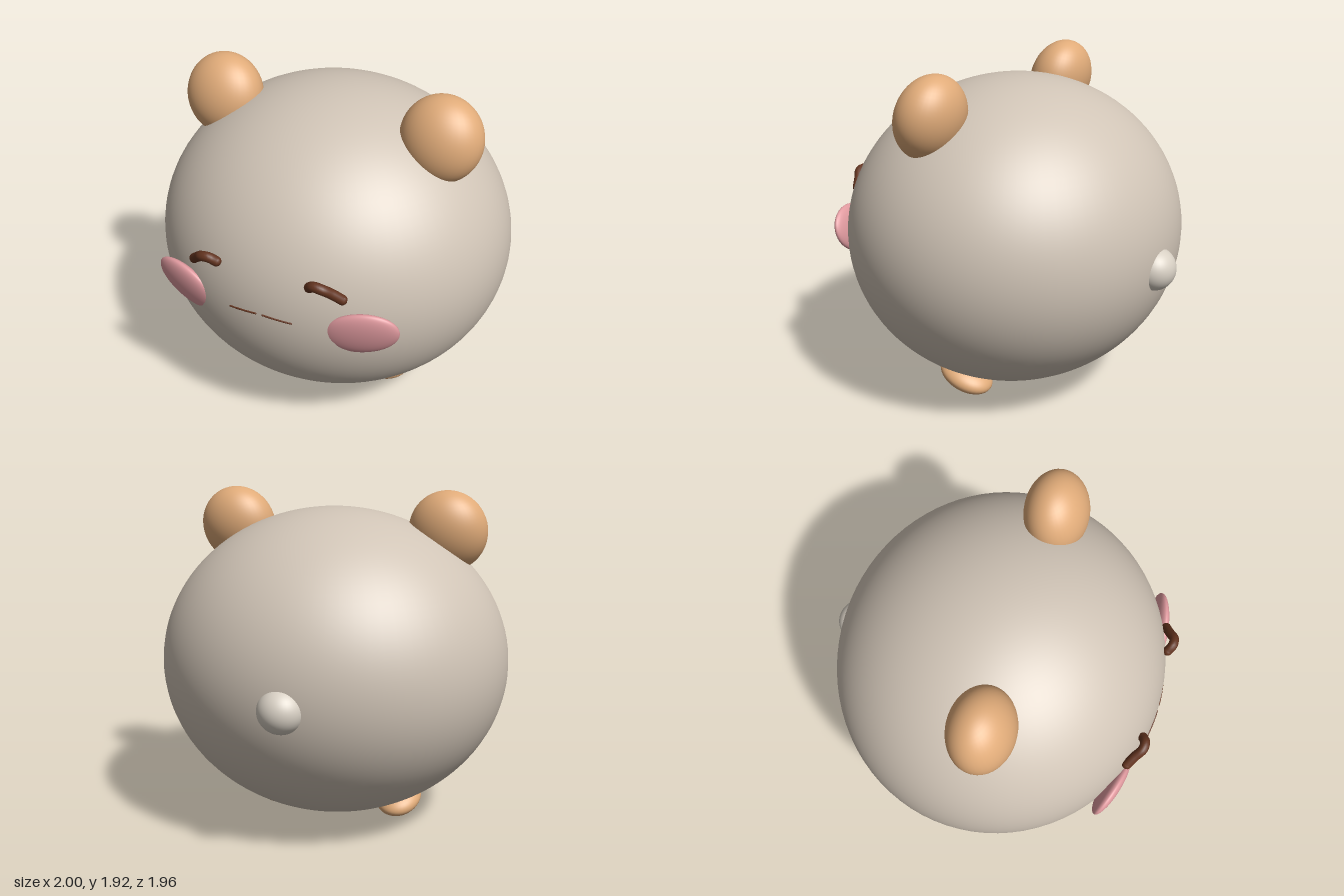
import * as THREE from 'three';

const mat = (name, color) => {
  const m = new THREE.MeshStandardMaterial({ color });
  m.name = name;
  return m;
};

export function createModel() {
  const group = new THREE.Group();
  const fur = mat('warm grey fur', 0xd0c4b6);
  const tailFur = mat('pale tail fur', 0xd8d0c4);
  const tan = mat('tan', 0xe0ab79);
  const pink = mat('blush pink', 0xe09a9f);
  const brown = mat('dark brown', 0x63341f);

  const ball = (name, material, radii, pos, rot = [0, 0, 0], seg = 40) => {
    const mesh = new THREE.Mesh(new THREE.SphereGeometry(1, seg, seg * 0.7), material);
    mesh.name = name;
    mesh.scale.set(...radii);
    mesh.position.set(...pos);
    mesh.rotation.set(...rot);
    group.add(mesh);
    return mesh;
  };

  // Round body and tail
  const centre = new THREE.Vector3(0, 0.94, 0.035);
  const radii = new THREE.Vector3(1, 0.88, 0.94);
  ball('body', fur, radii.toArray(), centre.toArray(), [0, 0, 0], 80);
  ball('tail', tailFur, [0.125, 0.12, 0.12], [0, 0.87, -0.86]);

  // Depth of the body's front surface at x, y
  const frontZ = (x, y) =>
    centre.z + radii.z * Math.sqrt(1 - (x / radii.x) ** 2 - ((y - centre.y) / radii.y) ** 2);

  // Tube with rounded ends
  const stroke = (name, points, radius) => {
    const part = new THREE.Group();
    part.name = name;
    const curve = new THREE.CatmullRomCurve3(points);
    part.add(new THREE.Mesh(new THREE.TubeGeometry(curve, 24, radius, 12), brown));
    for (const end of [points[0], points[points.length - 1]]) {
      const cap = new THREE.Mesh(new THREE.SphereGeometry(radius, 12, 8), brown);
      cap.position.copy(end);
      part.add(cap);
    }
    group.add(part);
  };

  for (const s of [1, -1]) {
    const side = s > 0 ? 'left' : 'right';
    ball(side + 'Ear', tan, [0.222, 0.23, 0.17], [s * 0.63, 1.69, 0.135], [-0.25, 0, 0]);
    ball(side + 'Foot', tan, [0.135, 0.075, 0.17], [s * 0.37, 0.09, 0.14], [-0.35, 0, 0]);
    ball(side + 'Cheek', pink, [0.2, 0.14, 0.045], [s * 0.505, 0.91, 0.847], [0.22, s * 0.26, s * 0.22]);

    // Closed smiling eye
    const eye = [[0.262, 1.175, 0.925], [0.295, 1.2, 0.942], [0.335, 1.195, 0.94],
      [0.375, 1.163, 0.912], [0.42, 1.122, 0.885]];
    stroke(side + 'Eye', eye.map(([x, y, z]) => new THREE.Vector3(s * x, y, z)), 0.027);

    // Thin mouth line lying on the body
    const mouth = [0.02, 0.07, 0.12, 0.175].map((x) => {
      const y = (s > 0 ? 0.958 : 0.957) - 0.08 * x;
      return new THREE.Vector3(s * x, y, frontZ(x, y));
    });
    stroke(side + 'Mouth', mouth, 0.005);
  }
  return group;
}
